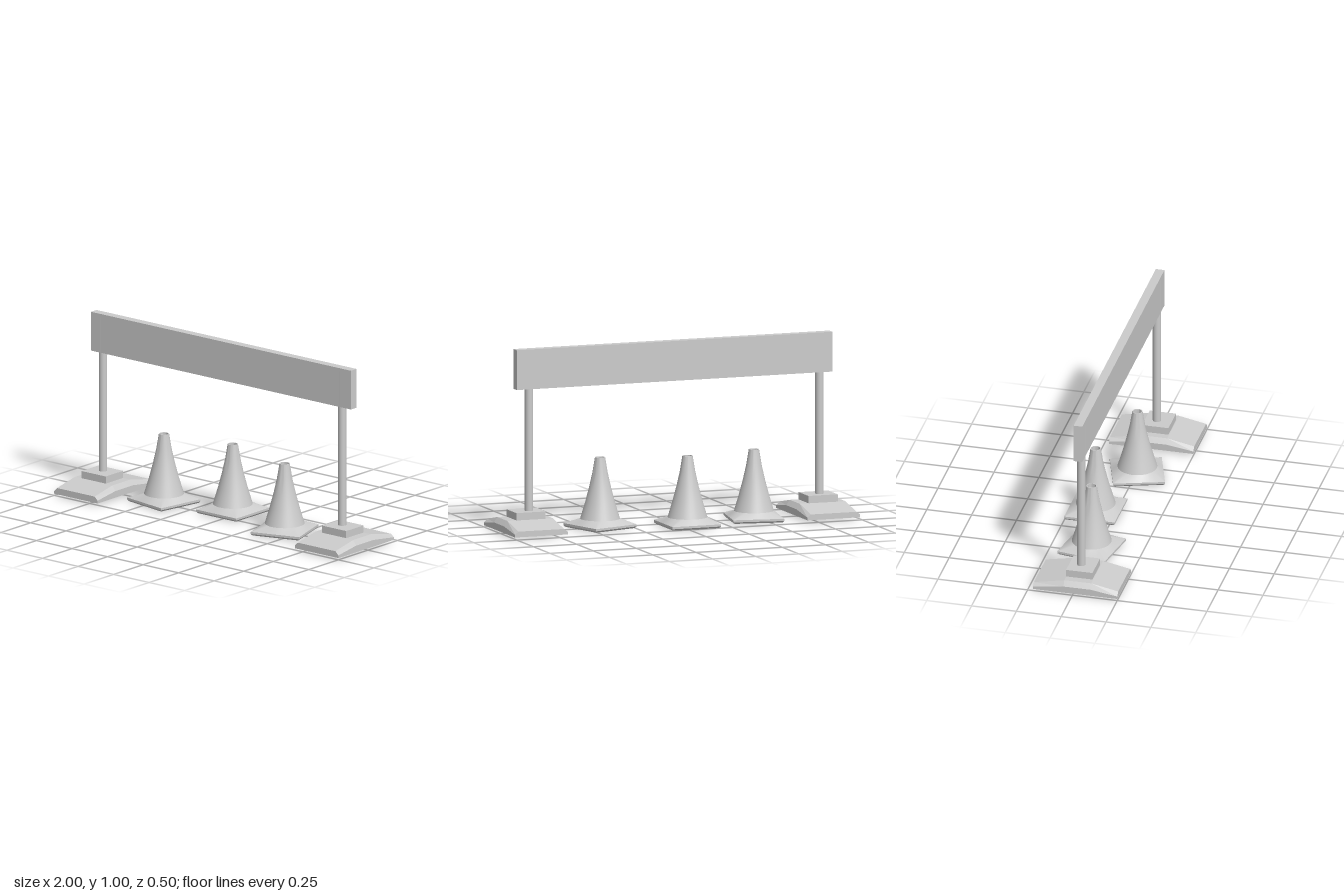
import * as THREE from 'three';
import { toCreasedNormals } from 'three/addons/utils/BufferGeometryUtils.js';

const material = new THREE.MeshStandardMaterial({ color: 0xcccccc });

function addMesh(parent, name, geometry, x = 0, y = 0, z = 0) {
  const mesh = new THREE.Mesh(geometry, material);
  mesh.name = name;
  mesh.position.set(x, y, z);
  parent.add(mesh);
  return mesh;
}

// Skin a row of closed rings that all have the same number of points
function loft(rings, crease) {
  const n = rings[0].length;
  const index = [];
  for (let i = 0; i < rings.length - 1; i++) {
    for (let j = 0; j < n; j++) {
      const a = i * n + j, b = i * n + (j + 1) % n;
      index.push(a, a + n, b, b, a + n, b + n);
    }
  }
  const geometry = new THREE.BufferGeometry();
  geometry.setAttribute('position', new THREE.Float32BufferAttribute(rings.flat(2), 3));
  geometry.setIndex(index);
  return toCreasedNormals(geometry, crease);
}

// Horizontal ring, round or square, of the given half width
function ring(half, y, square = false) {
  return Array.from({ length: 32 }, (_, j) => {
    const a = (j / 32) * Math.PI * 2;
    const c = Math.cos(a), s = Math.sin(a);
    const r = square ? half / Math.max(Math.abs(c), Math.abs(s)) : half;
    return [r * c, y, r * s];
  });
}

function coneGeometry() {
  return loft([
    // hollow underside
    ring(0, 0.05), ring(0.105, 0.05), ring(0.105, 0.015),
    // square base with a raised lip below
    ring(0.117, 0.015, true), ring(0.124, 0, true), ring(0.133, 0, true),
    ring(0.141, 0.009, true), ring(0.141, 0.021, true),
    // flared body
    ring(0.108, 0.05), ring(0.081, 0.14), ring(0.06, 0.22), ring(0.042, 0.3), ring(0.028, 0.385),
    // recessed tip
    ring(0.023, 0.385), ring(0.023, 0.35), ring(0, 0.35),
  ], 0.5);
}

// Weighted foot: hexagonal sections from front to back
function footGeometry() {
  const w = 0.153, t = 0.132, bottom = 0.01;
  const section = (z, rim, top) => [
    [-w, bottom, z], [w, bottom, z], [w, rim, z], [t, top, z], [-t, top, z], [-w, rim, z],
  ];
  const cap = (z) => Array.from({ length: 6 }, () => [0, 0.025, z]);
  return loft([
    cap(0.25),
    section(0.25, 0.025, 0.045),
    section(0.1, 0.047, 0.075),
    section(-0.05, 0.047, 0.075),
    section(-0.22, 0.025, 0.041),
    cap(-0.22),
  ], 0.1);
}

export function createModel() {
  const model = new THREE.Group();
  model.name = 'coneBarrier';

  // Cross board
  addMesh(model, 'board', new THREE.BoxGeometry(1.83, 0.218, 0.048), -0.005, 0.891, 0.011);

  // Stands: foot, socket block and post
  const foot = footGeometry();
  const socket = new THREE.BoxGeometry(0.17, 0.042, 0.147);
  const post = new THREE.CylinderGeometry(0.0225, 0.0225, 0.88, 24);
  for (const [name, footX, socketX, postX] of [
    ['rightStand', -0.847, -0.85, -0.853],
    ['leftStand', 0.847, 0.842, 0.83],
  ]) {
    const stand = new THREE.Group();
    stand.name = name;
    addMesh(stand, 'foot', foot, footX);
    addMesh(stand, 'socket', socket, socketX, 0.094, 0.022);
    addMesh(stand, 'post', post, postX, 0.54, 0.013);
    model.add(stand);
  }

  // Cones, each turned a little differently
  const cone = coneGeometry();
  for (const [name, x, z, turn] of [
    ['rightCone', -0.458, -0.028, -0.173],
    ['middleCone', -0.042, -0.11, 0],
    ['leftCone', 0.42, 0.007, 0.31],
  ]) {
    addMesh(model, name, cone, x, 0, z).rotation.y = turn;
  }

  return model;
}
